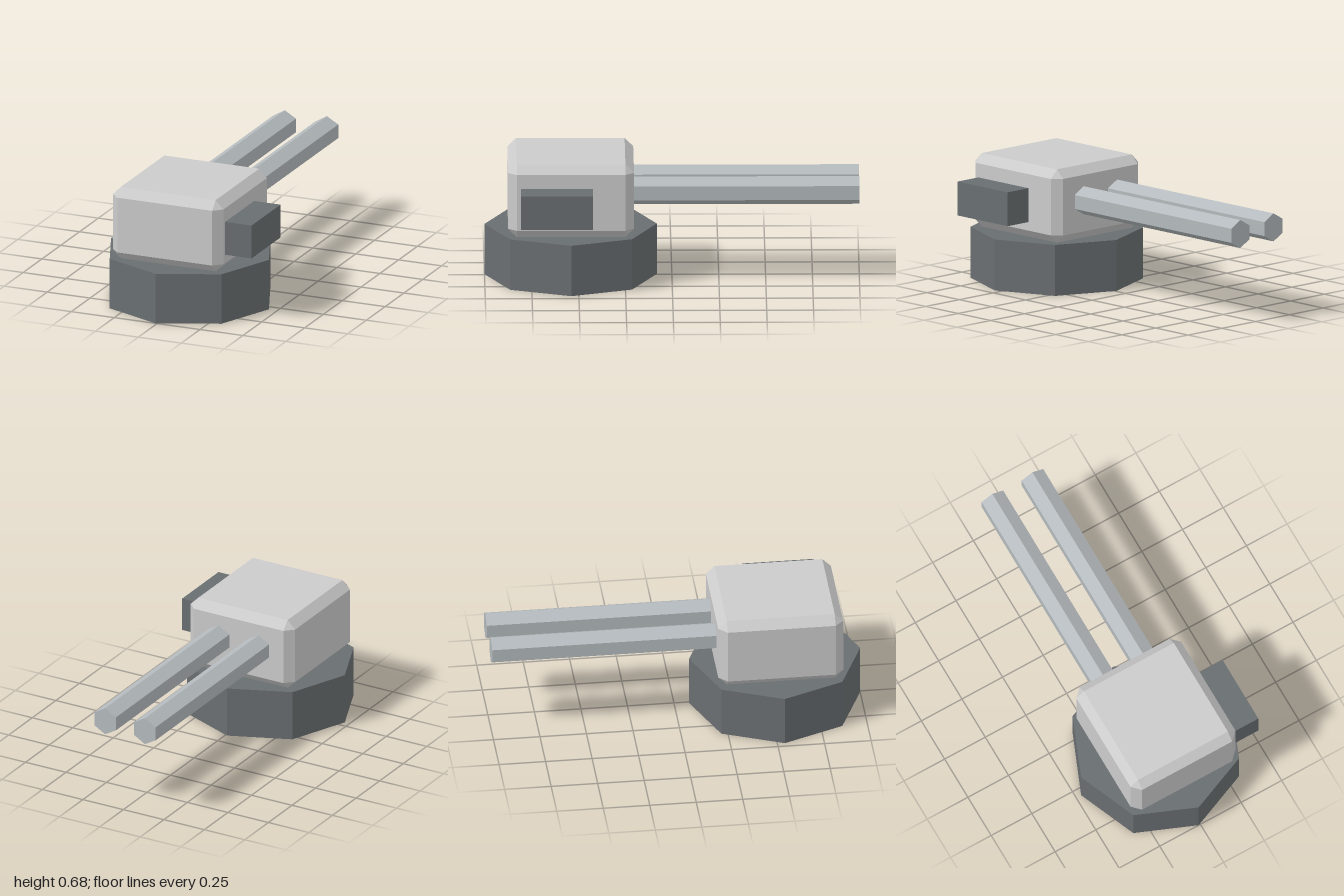
import * as THREE from 'three';
import { ConvexGeometry } from 'three/addons/geometries/ConvexGeometry.js';

const material = (color) => new THREE.MeshStandardMaterial({ color, flatShading: true });

function addPart(group, name, geometry, mat, x, y, z) {
  const mesh = new THREE.Mesh(geometry, mat);
  mesh.name = name;
  mesh.position.set(x, y, z);
  group.add(mesh);
  return mesh;
}

// Box with every edge cut at 45 degrees and small triangular corners
function chamferedBox(w, h, d, c) {
  const points = [];
  for (const sx of [-1, 1]) for (const sy of [-1, 1]) for (const sz of [-1, 1]) {
    const x = w / 2, y = h / 2, z = d / 2;
    points.push(
      new THREE.Vector3(sx * x, sy * (y - c), sz * (z - c)),
      new THREE.Vector3(sx * (x - c), sy * y, sz * (z - c)),
      new THREE.Vector3(sx * (x - c), sy * (y - c), sz * z)
    );
  }
  return new ConvexGeometry(points);
}

export function createModel() {
  const turret = new THREE.Group();
  turret.name = 'gunTurret';
  const grey = material(0xcccccc);
  const dark = material(0x696e71);
  const metal = material(0xb4babd);
  const cx = -0.01, cz = 0.54;

  // Octagonal base with corners on the axes
  addPart(turret, 'base', new THREE.CylinderGeometry(0.46, 0.46, 0.278, 8), dark, cx, 0.139, cz);

  // Chamfered housing
  addPart(turret, 'housing', chamferedBox(0.645, 0.4, 0.672, 0.046), grey, cx, 0.478, cz);

  // Box on the left flank
  addPart(turret, 'sideBox', new THREE.BoxGeometry(0.155, 0.185, 0.385), dark, 0.389, 0.463, 0.616);

  // Twin hexagonal barrels
  const barrel = new THREE.CylinderGeometry(0.0765, 0.0765, 1.21, 6).rotateX(Math.PI / 2);
  for (const [name, side] of [['leftBarrel', 1], ['rightBarrel', -1]]) {
    addPart(turret, name, barrel, metal, cx + side * 0.123, 0.494, -0.395);
  }
  return turret;
}
